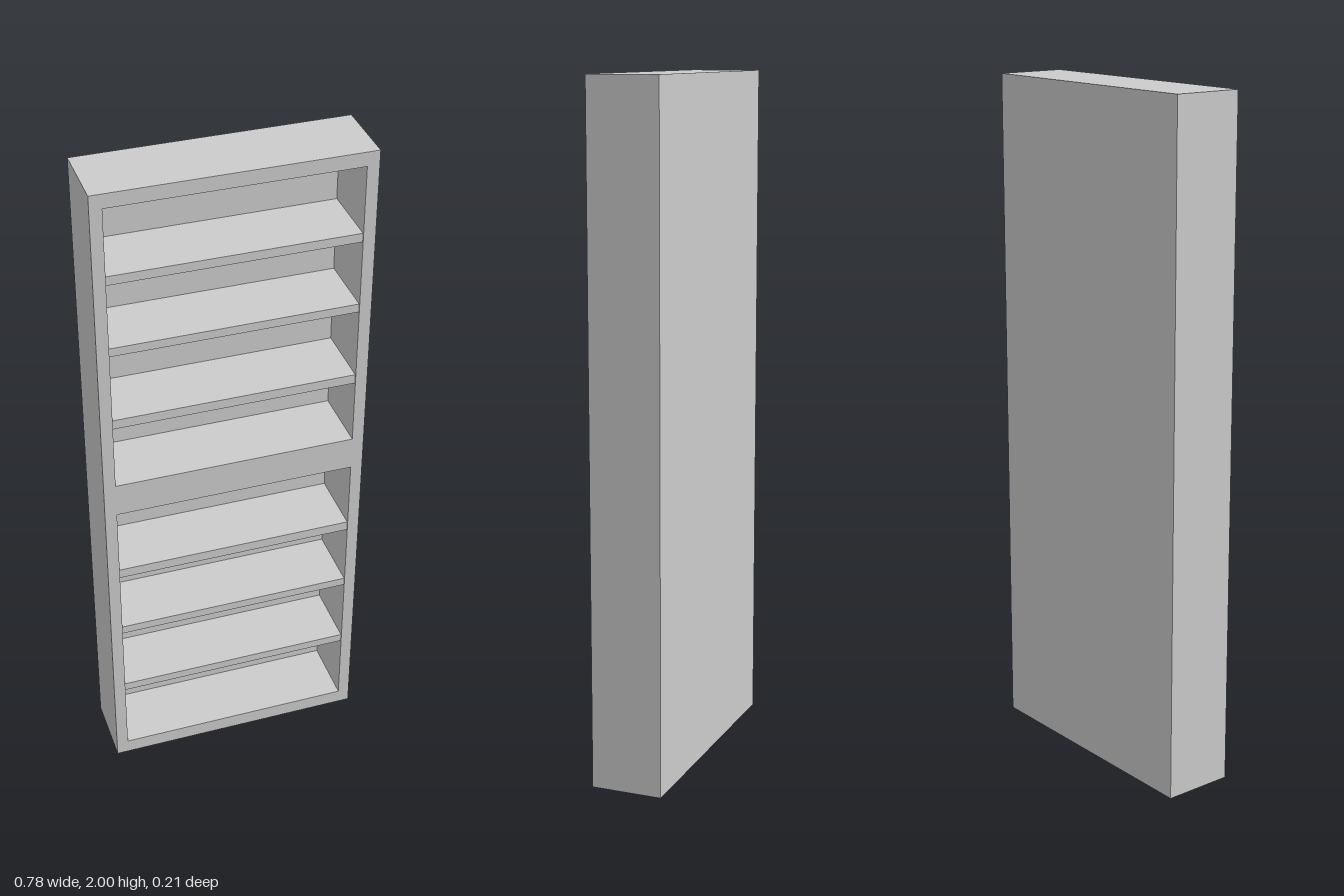
import * as THREE from 'three';

const W = 0.39, H = 2, D = 0.105;     // half width, height, half depth
const INNER = 0.355;                  // half width of the openings
const BACK = 0.01;                    // back panel thickness
const SHELF_FRONT = 0.101;            // shelves sit just behind the frame face

// Bottom and top of the two bays, and of the shelves in each
const bays = [
  { y: [0.045, 0.97], shelves: [[0.268, 0.294], [0.506, 0.532], [0.728, 0.758]] },
  { y: [1.073, 1.958], shelves: [[1.269, 1.298], [1.508, 1.534], [1.73, 1.757]] },
];

const rect = (path, x, y0, y1) =>
  path.moveTo(-x, y0).lineTo(x, y0).lineTo(x, y1).lineTo(-x, y1).closePath();

export function createModel() {
  const group = new THREE.Group();
  const material = new THREE.MeshStandardMaterial({ color: 0xcccccc });
  const add = (name, geometry, x, y, z) => {
    const mesh = new THREE.Mesh(geometry, material);
    mesh.name = name;
    mesh.position.set(x, y, z);
    group.add(mesh);
  };

  // Case: sides, top, base and middle rail in one, open at both bays
  const outline = new THREE.Shape();
  rect(outline, W, 0, H);
  for (const bay of bays) {
    const hole = new THREE.Path();
    rect(hole, INNER, ...bay.y);
    outline.holes.push(hole);
  }
  const caseGeometry = new THREE.ExtrudeGeometry(outline, { depth: 2 * D - BACK, bevelEnabled: false });
  add('case', caseGeometry, 0, 0, -D + BACK);

  // Back panel
  add('backPanel', new THREE.BoxGeometry(2 * W, H, BACK), 0, H / 2, -D + BACK / 2);

  // Shelves
  const shelfBack = -D + BACK;
  const depth = SHELF_FRONT - shelfBack;
  for (const bay of bays) {
    for (const [y0, y1] of bay.shelves) {
      add('shelf', new THREE.BoxGeometry(2 * INNER, y1 - y0, depth), 0, (y0 + y1) / 2, shelfBack + depth / 2);
    }
  }
  return group;
}
